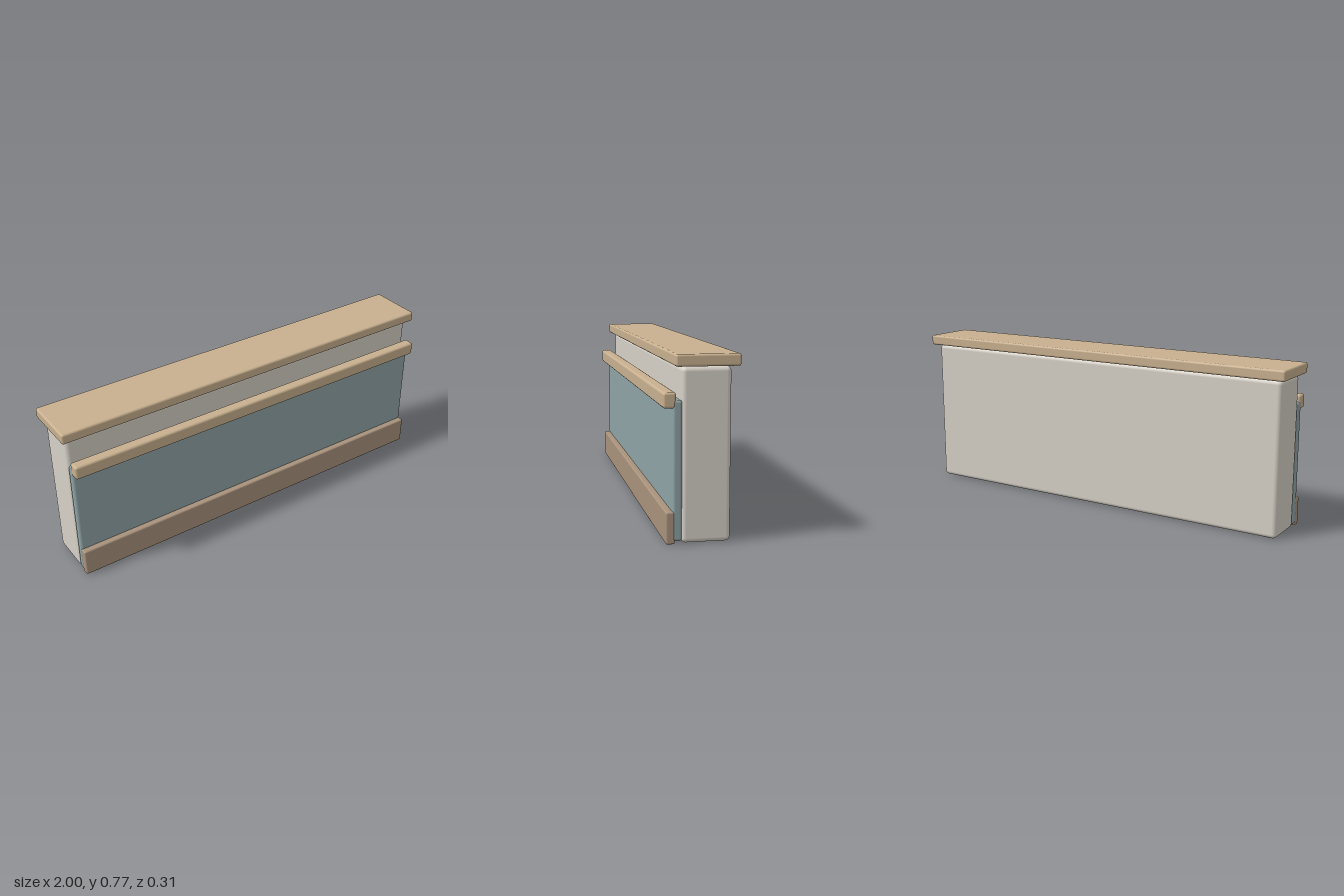
import * as THREE from 'three';
import { RoundedBoxGeometry } from 'three/addons/geometries/RoundedBoxGeometry.js';

const material = (color) => new THREE.MeshStandardMaterial({ color });

// Rounded slab centred on x, given its y and z ranges
function slab(name, width, [y0, y1], [z0, z1], radius, mat) {
  const geometry = new RoundedBoxGeometry(width, y1 - y0, z1 - z0, 3, radius);
  const mesh = new THREE.Mesh(geometry, mat);
  mesh.name = name;
  mesh.position.set(0, (y0 + y1) / 2, (z0 + z1) / 2);
  return mesh;
}

export function createModel() {
  const group = new THREE.Group();
  group.name = 'halfWall';
  const plaster = material(0xd6d1c7);
  const wood = material(0xc8b08f);
  const darkWood = material(0xa8927c);
  const paint = material(0x8fa3a5);

  group.add(
    // Wall body and overhanging cap
    slab('wallCore', 1.95, [0.002, 0.723], [-0.125, 0.08], 0.02, plaster),
    slab('topCap', 2, [0.725, 0.775], [-0.157, 0.11], 0.01, wood),
    // Front cladding: panel, rail and skirting
    slab('frontPanel', 1.95, [0.012, 0.59], [0.077, 0.117], 0.012, paint),
    slab('chairRail', 1.95, [0.557, 0.622], [0.103, 0.157], 0.011, wood),
    slab('baseboard', 1.95, [0, 0.135], [0.107, 0.145], 0.008, darkWood),
  );
  return group;
}
